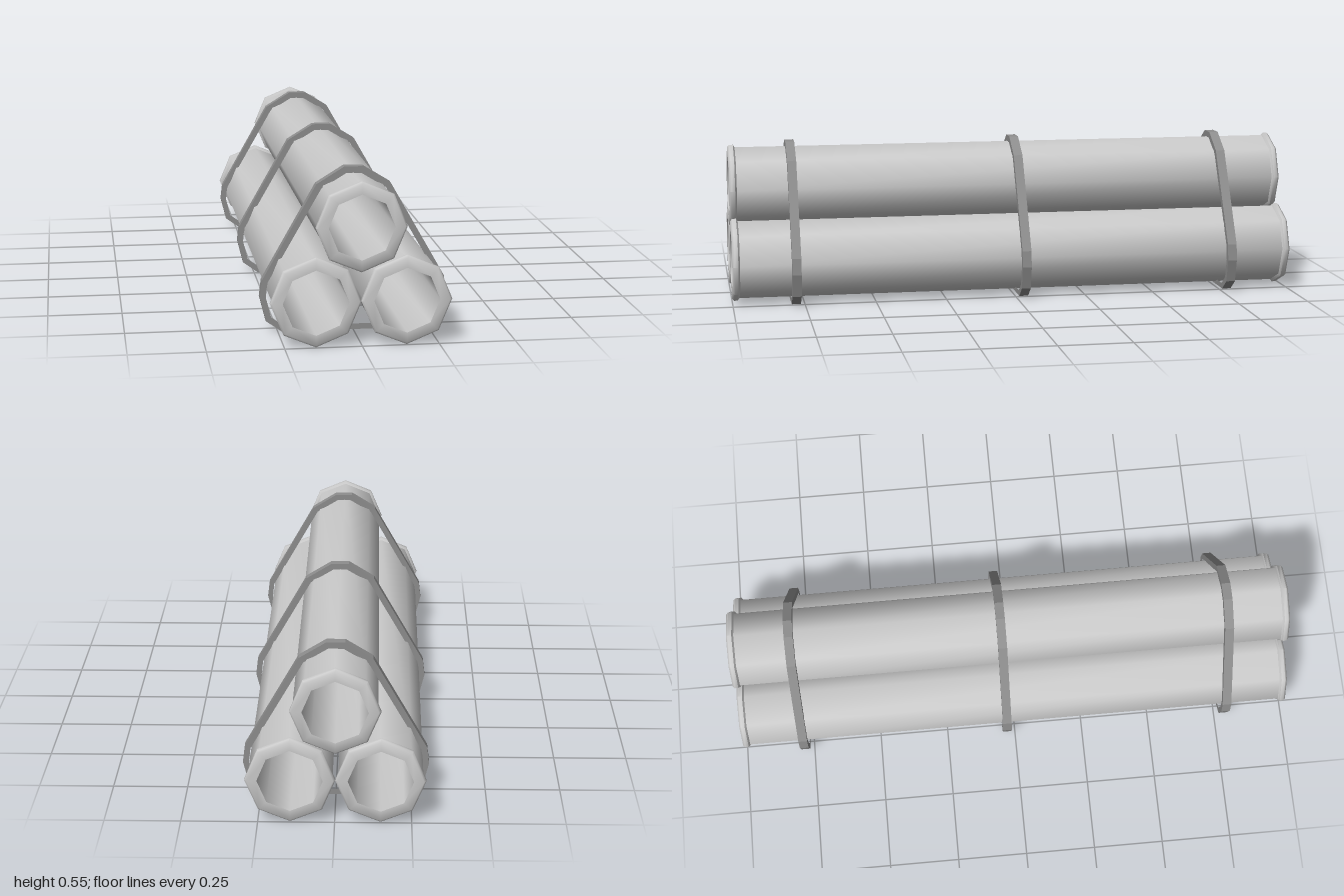
import * as THREE from 'three';
import { toCreasedNormals } from 'three/addons/utils/BufferGeometryUtils.js';

const pipeMaterial = new THREE.MeshStandardMaterial({ color: 0xcccccc });
const strapMaterial = new THREE.MeshStandardMaterial({ color: 0x8e8e8e });

// Eight-sided hollow pipe along z, with a bevelled lip at each end
function pipeGeometry() {
  const lip = [[0.107, -1], [0.140, -1], [0.147, -0.993], [0.147, -0.98], [0.138, -0.974]];
  const outline = [
    ...lip,
    ...lip.map(([r, z]) => [r, -z]).reverse(),
    lip[0], // back down the bore
  ].map(([r, z]) => new THREE.Vector2(r, z));
  const geometry = new THREE.LatheGeometry(outline, 8);
  geometry.rotateX(Math.PI / 2);
  return toCreasedNormals(geometry, THREE.MathUtils.degToRad(50));
}

// Closed outline from its right half, listed top to bottom
function mirrored(half) {
  const left = half.map(([x, y]) => [-x, y]).reverse();
  return [...half, ...left].map(([x, y]) => new THREE.Vector2(x, y));
}

// Flat band wrapped round the three pipes
function strapGeometry(width) {
  const outer = [[0.031, 0.55], [0.122, 0.494], [0.302, 0.177], [0.309, 0.12], [0.289, 0.04], [0.237, 0.003]];
  const inner = [[0.025, 0.528], [0.106, 0.479], [0.283, 0.17], [0.289, 0.12], [0.272, 0.053], [0.229, 0.022]];
  const shape = new THREE.Shape(mirrored(outer));
  shape.holes.push(new THREE.Path(mirrored(inner)));
  const geometry = new THREE.ExtrudeGeometry(shape, { depth: width, bevelEnabled: false });
  return geometry.translate(0, 0, -width / 2);
}

export function createModel() {
  const model = new THREE.Group();
  model.name = 'pipeBundle';

  // Two pipes below, one resting on top
  const pipe = pipeGeometry();
  const places = { topPipe: [-0.002, 0.392], leftPipe: [0.145, 0.15], rightPipe: [-0.149, 0.15] };
  for (const [name, [x, y]] of Object.entries(places)) {
    const mesh = new THREE.Mesh(pipe, pipeMaterial);
    mesh.name = name;
    mesh.position.set(x, y, 0);
    model.add(mesh);
  }

  // Three straps along the length
  const strap = strapGeometry(0.032);
  const stations = { frontStrap: 0.78, middleStrap: -0.03, backStrap: -0.78 };
  for (const [name, z] of Object.entries(stations)) {
    const mesh = new THREE.Mesh(strap, strapMaterial);
    mesh.name = name;
    mesh.position.z = z;
    model.add(mesh);
  }

  return model;
}
